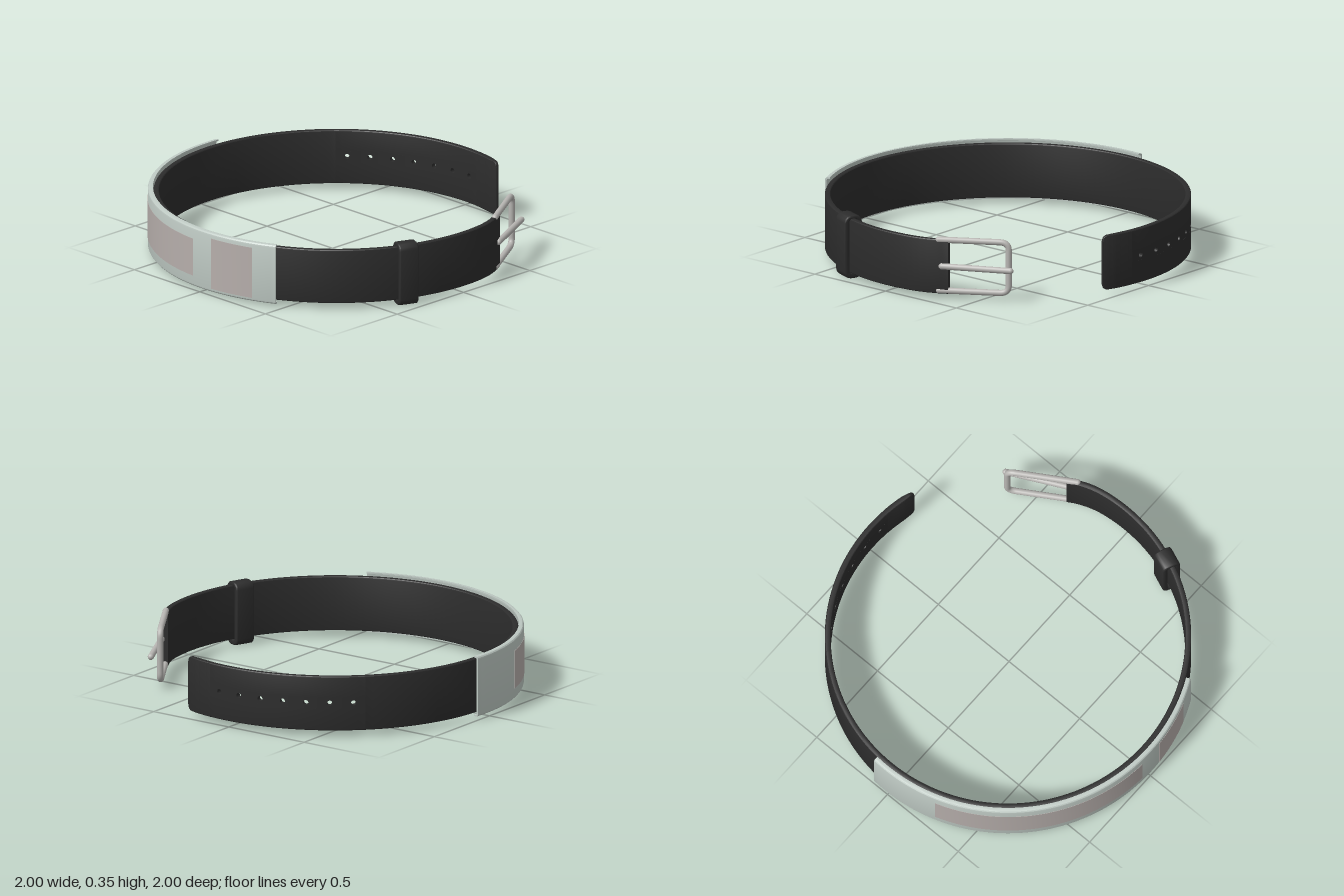
import * as THREE from 'three';
import { toCreasedNormals } from 'three/addons/utils/BufferGeometryUtils.js';

const CX = 0.013, CZ = -0.018, R = 0.967;   // centre and radius of the loop
const rad = THREE.MathUtils.degToRad;

const mat = (name, color) => {
  const m = new THREE.MeshStandardMaterial({ color });
  m.name = name;
  return m;
};

// Loop radius at an angle (degrees from the front); it bends inward near the buckle.
const radiusAt = a => R - 0.00013 * Math.max(0, a - 98) ** 2;

// Point at angle a, radial distance r and height y.
const polar = (a, r, y) =>
  new THREE.Vector3(CX + r * Math.sin(rad(a)), y, CZ + r * Math.cos(rad(a)));

// Sweeps a closed [radial, y] profile around the loop, with capped ends.
function sweep(profileAt, a0, a1, n) {
  const pos = [], idx = [];
  const m = profileAt(a0).length;
  for (let i = 0; i <= n; i++) {
    const a = a0 + (a1 - a0) * i / n;
    for (const [r, y] of profileAt(a)) pos.push(...polar(a, r, y).toArray());
  }
  for (let i = 0; i < n; i++) {
    for (let j = 0; j < m; j++) {
      const p = i * m + j, q = i * m + (j + 1) % m;
      idx.push(p, p + m, q, q, p + m, q + m);
    }
  }
  const flat = profileAt(a0).map(([r, y]) => new THREE.Vector2(r, y));
  for (const [a, b, c] of THREE.ShapeUtils.triangulateShape(flat, [])) {
    idx.push(a, b, c, n * m + a, n * m + c, n * m + b);
  }
  const g = new THREE.BufferGeometry();
  g.setAttribute('position', new THREE.Float32BufferAttribute(pos, 3));
  g.setIndex(idx);
  return toCreasedNormals(g, 0.4);
}

// Rounded rectangle profile, counter-clockwise.
function roundRect(d0, d1, y0, y1, r) {
  const pts = [];
  [[d1 - r, y0 + r], [d1 - r, y1 - r], [d0 + r, y1 - r], [d0 + r, y0 + r]].forEach(([x, y], k) => {
    for (let i = 0; i <= 3; i++) {
      const t = (k - 1 + i / 3) * Math.PI / 2;
      pts.push([x + r * Math.cos(t), y + r * Math.sin(t)]);
    }
  });
  return pts;
}

function roundShape(Type, w, y0, y1, r) {
  return new Type(roundRect(-w, w, y0, y1, r).map(p => new THREE.Vector2(...p)));
}

// Short strap tile with a punched hole, bent onto the loop.
function holeTile(center, width, y0, y1, half) {
  const w = R * rad(width) / 2;
  const shape = new THREE.Shape();
  shape.moveTo(-w, y0).lineTo(0, y0).lineTo(w, y0).lineTo(w, y1).lineTo(0, y1).lineTo(-w, y1);
  const hole = new THREE.Path();
  hole.absarc(0, (y0 + y1) / 2, 0.014, 0, Math.PI * 2, true);
  shape.holes.push(hole);
  const g = new THREE.ExtrudeGeometry(shape, { depth: half * 2, bevelEnabled: false, curveSegments: 14 });
  const p = g.attributes.position, nr = g.attributes.normal;
  const up = new THREE.Vector3(0, 1, 0), v = new THREE.Vector3();
  for (let i = 0; i < p.count; i++) {
    const a = center + THREE.MathUtils.radToDeg(p.getX(i) / R);
    v.fromBufferAttribute(nr, i).applyAxisAngle(up, rad(a));
    nr.setXYZ(i, v.x, v.y, v.z);
    v.copy(polar(a, R - half + p.getZ(i), p.getY(i)));
    p.setXYZ(i, v.x, v.y, v.z);
  }
  return g;
}

export function createModel() {
  const root = new THREE.Group();
  root.name = 'collar';
  const leather = mat('black leather', 0x2c2c2c);
  const steel = mat('buckle steel', 0xb8b6b3);
  const silver = mat('pale plate', 0xbfcac4);
  const tint = mat('panel tint', 0xb6aeab);
  const add = (parent, name, geo, material) => {
    const mesh = new THREE.Mesh(geo, material);
    mesh.name = name;
    parent.add(mesh);
    return mesh;
  };

  // Strap: plain run, punched run made of two bands and tiles, and tapered tip
  const strap = new THREE.Group();
  strap.name = 'strap';
  root.add(strap);
  const H = 0.016, Y0 = 0.035, Y1 = 0.338, HOLE_Y = 0.19;
  const step = 7.5, first = -183, holes = 7;
  const h0 = first - step / 2, h1 = h0 + holes * step;
  const band = (y0, y1) => a => roundRect(radiusAt(a) - H, radiusAt(a) + H, y0, y1, 0.009);
  add(strap, 'strapBody', sweep(band(Y0, Y1), h1, 111, 110), leather);

  const halfBand = upper => () => {
    const full = roundRect(R - H, R + H, Y0, Y1, 0.009);
    return upper
      ? [[R - H, HOLE_Y + 0.03], [R + H, HOLE_Y + 0.03], ...full.slice(4, 12)]
      : [...full.slice(12), ...full.slice(0, 4), [R + H, HOLE_Y - 0.03], [R - H, HOLE_Y - 0.03]];
  };
  add(strap, 'strapUpperBand', sweep(halfBand(true), h0, h1, 24), leather);
  add(strap, 'strapLowerBand', sweep(halfBand(false), h0, h1, 24), leather);
  for (let i = 0; i < holes; i++) {
    add(strap, 'strapHole', holeTile(first + i * step, step, HOLE_Y - 0.03, HOLE_Y + 0.03, H), leather);
  }

  const tipEnd = -197.8;
  const tip = a => {
    const left = a - tipEnd;
    const h = H * Math.min(1, 0.45 + left * 0.13);
    const k = Math.max(0, 1 - left / 1.8);
    const inset = 0.03 * (1 - Math.sqrt(1 - k * k));
    return roundRect(R - h, R + h, Y0 + inset, Y1 - inset, 0.5 * h);
  };
  add(strap, 'strapTip', sweep(tip, tipEnd, h0, 36), leather);

  // Cover plate: a curved channel with lips over the strap edges
  const channel = [
    [0.985, 0.02], [1.0, 0.02], [1.006, 0.022], [1.011, 0.028], [1.013, 0.036],
    [1.013, 0.339], [1.011, 0.347], [1.006, 0.353], [1.0, 0.355], [0.985, 0.355],
    [0.985, 0.347], [1.0, 0.346], [1.003, 0.338], [1.003, 0.037], [1.0, 0.029], [0.985, 0.028],
  ];
  add(root, 'coverPlate', sweep(() => channel, -94.6, 26.5, 64), silver);

  // Tinted panels on the plate
  for (const [a0, a1, y0, y1] of [[-72, -4.1, 0.08, 0.29], [3.8, 18.8, 0.04, 0.325]]) {
    const panel = [[1.01, y0], [1.0145, y0], [1.0145, y1], [1.01, y1]];
    add(root, 'platePanel', sweep(() => panel, a0, a1, Math.ceil((a1 - a0) / 1.9)), tint);
  }

  // Keeper loop around the strap
  const loop = roundShape(THREE.Shape, 0.044, 0.012, 0.346, 0.03);
  loop.holes.push(roundShape(THREE.Path, 0.03, 0.028, 0.338, 0.015));
  const keeperGeo = new THREE.ExtrudeGeometry(loop, {
    depth: 0.095, bevelThickness: 0.008, bevelSize: 0.008, bevelSegments: 3,
  });
  keeperGeo.translate(0, 0, -0.0475);
  const keeper = add(root, 'keeperLoop', toCreasedNormals(keeperGeo, 0.6), leather);
  keeper.position.copy(polar(68.1, 0.961, 0));
  keeper.rotation.y = rad(68.1 - 90);

  // Buckle: U-shaped frame, hinge bar and prong
  const buckle = new THREE.Group();
  buckle.name = 'buckle';
  root.add(buckle);
  const hinge = new THREE.Vector2(0.925, -0.31), end = new THREE.Vector2(0.725, -0.635);
  const at = (u, y) => new THREE.Vector3(
    THREE.MathUtils.lerp(hinge.x, end.x, u), y, THREE.MathUtils.lerp(hinge.y, end.y, u));
  const lo = 0.051, hi = 0.334, c = 0.045;
  const frame = new THREE.CurvePath();
  frame.add(new THREE.LineCurve3(at(0, lo), at(0.87, lo)));
  frame.add(new THREE.QuadraticBezierCurve3(at(0.87, lo), at(1, lo), at(1, lo + c)));
  frame.add(new THREE.LineCurve3(at(1, lo + c), at(1, hi - c)));
  frame.add(new THREE.QuadraticBezierCurve3(at(1, hi - c), at(1, hi), at(0.87, hi)));
  frame.add(new THREE.LineCurve3(at(0.87, hi), at(0, hi)));
  const rod = (name, curve, segments, r) => {
    add(buckle, name, new THREE.TubeGeometry(curve, segments, r, 14), steel);
    for (const t of [0, 1]) {
      add(buckle, name + 'End', new THREE.SphereGeometry(r, 14, 10), steel).position.copy(curve.getPoint(t));
    }
  };
  rod('buckleFrame', frame, 100, 0.017);
  rod('hingeBar', new THREE.LineCurve3(at(0, lo), at(0, hi)), 1, 0.012);
  rod('prong', new THREE.LineCurve3(
    new THREE.Vector3(0.928, HOLE_Y, -0.335), new THREE.Vector3(0.758, HOLE_Y, -0.675)), 1, 0.017);

  return root;
}
